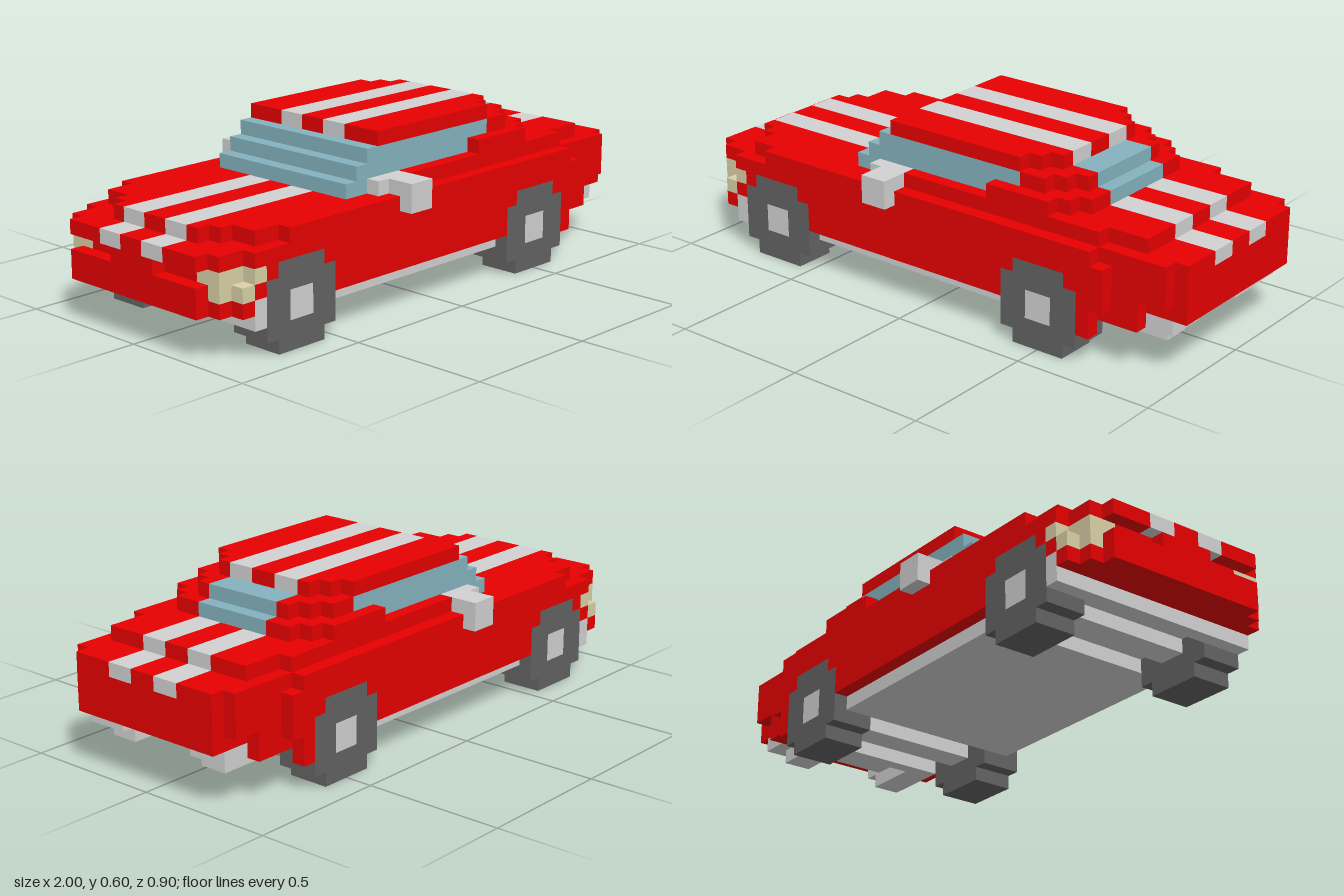
import * as THREE from 'three';

const U = 0.05; // size of one block

const material = (name, color) => {
  const m = new THREE.MeshStandardMaterial({ color });
  m.name = name;
  return m;
};

export function createModel() {
  const red = material('red paint', 0xe80000);
  const silver = material('silver', 0xd2d2d2);
  const glass = material('blue glass', 0x85b3be);
  const dark = material('dark rubber', 0x636363);
  const cream = material('headlight cream', 0xdad1a7);

  const car = new THREE.Group();
  car.name = 'car';
  const groups = {};
  const part = (name) => {
    if (!groups[name]) {
      groups[name] = new THREE.Group();
      groups[name].name = name;
      car.add(groups[name]);
    }
    return groups[name];
  };

  // Block in grid units; centred when z0 is 0, otherwise mirrored to both sides
  const block = (name, mat, x0, x1, y0, y1, z0, z1) => {
    const depth = z0 === 0 ? 2 * z1 : z1 - z0;
    const centres = z0 === 0 ? [0] : [(z0 + z1) / 2, -(z0 + z1) / 2];
    for (const z of centres) {
      const mesh = new THREE.Mesh(new THREE.BoxGeometry((x1 - x0) * U, (y1 - y0) * U, depth * U), mat);
      mesh.position.set(((x0 + x1) / 2) * U, ((y0 + y1) / 2) * U, z * U);
      mesh.name = name;
      part(name).add(mesh);
    }
  };

  // Slab carrying the twin racing stripes along its length
  const striped = (name, x0, x1, y0, y1, half) => {
    block(name, red, x0, x1, y0, y1, 0, 1);
    block('racingStripe', silver, x0, x1, y0, y1, 1, 3);
    block(name, red, x0, x1, y0, y1, 3, half);
  };

  // Lower body between the wheels, and the stepped floor
  block('bodyCore', red, -17, 17, 4, 7, 0, 5);
  block('floor', silver, -17, 17, 3, 4, 0, 5);
  block('floor', silver, -10, 7, 2, 3, 0, 7);

  // Side panels with stepped wheel arches
  block('sidePanel', red, -10, 7, 3, 6, 5, 8);
  for (const x of [-16, -11, 7, 12]) block('wheelArch', red, x, x + 1, 5, 6, 5, 8);
  block('sidePanel', red, -17, 15, 6, 7, 5, 8);
  block('sidePanel', red, 13, 14, 3, 6, 5, 8);
  block('sidePanel', red, 13, 14, 2, 3, 7, 8);
  block('sidePanel', red, 14, 15, 4, 6, 5, 8);
  block('frontValance', silver, -17, -16, 2, 4, 5, 8);
  block('frontValance', silver, -17, -16, 2, 3, 0, 5);
  block('sidePanel', red, -17, -16, 4, 5, 5, 8);

  // Nose: bumper, recessed grille, headlights, overhanging hood lip
  block('frontBumper', red, -20, -17, 3, 5, 0, 6);
  block('frontBumper', red, -19, -17, 3, 4, 6, 7);
  block('frontBumper', red, -18, -17, 3, 4, 7, 8);
  block('grille', red, -19, -17, 5, 6, 0, 5);
  block('grillePost', red, -20, -19, 5, 6, 0, 2);
  block('headlight', cream, -19, -17, 5, 6, 5, 7);
  block('headlight', cream, -17, -16, 5, 6, 7, 8.02);
  block('headlight', cream, -19, -17, 4, 5, 6, 7);
  block('headlight', cream, -18, -17, 4, 5, 7, 8);
  striped('hoodLip', -20, -17, 6, 7, 6);
  block('hoodLip', red, -19, -17, 6, 7, 6, 7);

  // Hood and deck layer
  striped('deck', -18, 20, 7, 8, 4);
  block('deck', red, -17, 20, 7, 8, 4, 5);
  block('deck', red, -16, 20, 7, 8, 5, 6);
  block('deck', red, -16, 19, 7, 8, 6, 7);
  block('deck', red, -14, 14, 7, 8, 7, 8);

  // Tail, rear bumper and exhausts
  block('tail', red, 17, 20, 4, 7, 0, 5);
  block('tail', red, 14, 20, 4, 7, 5, 6);
  block('tail', red, 14, 19, 5, 7, 6, 7);
  block('tail', red, 14, 17, 3, 5, 5, 7);
  block('rearBumper', silver, 17, 17.5, 3, 4, 0, 3);
  block('rearBumper', silver, 13, 14, 2, 3, 0, 5);
  block('exhaust', silver, 17, 19, 3, 4, 3, 6);
  block('exhaust', silver, 14, 18, 2, 3, 3, 5);

  // Cabin base and trunk lid
  block('windshield', glass, -7, -5, 8, 9, 0, 6);
  block('cabinBase', red, -5, 12, 8, 9, 0, 6);
  block('cabinBase', red, -2, 14, 8, 9, 6, 7);
  striped('trunkLid', 12, 17, 8, 9, 6);

  // Stepped windows and rear pillars
  block('windows', glass, -6, 5, 9, 10, 0, 6);
  block('rearWindow', glass, 5, 12, 9, 10, 0, 3);
  block('rearPillar', red, 5, 12, 9, 10, 3, 5);
  block('rearPillar', red, 5, 11, 9, 10, 5, 6);
  block('rearPillar', red, 5, 10, 9, 10, 6, 7);
  block('windows', glass, -5, 7, 10, 11, 0, 6);
  block('rearWindow', glass, 7, 11, 10, 11, 0, 3);
  block('rearPillar', red, 7, 11, 10, 11, 3, 4);
  block('rearPillar', red, 7, 10, 10, 11, 4, 5);
  block('rearPillar', red, 7, 9, 10, 11, 5, 6);

  // Roof with rounded rear corners
  striped('roof', -4, 9, 11, 12, 4);
  block('roof', red, -4, 8, 11, 12, 4, 5);
  block('roof', red, -4, 7, 11, 12, 5, 6);

  // Door mirrors
  block('doorMirror', silver, -4, -2, 7, 9, 8, 9);
  block('doorMirror', silver, -4, -2, 8, 9, 6, 8);
  block('doorMirror', silver, -5, -4, 8, 9, 6, 7);

  // Wheels: stepped tyre around a square hub, joined by an axle
  for (const [name, x] of [['frontWheel', -13], ['rearWheel', 10]]) {
    block(name, dark, x - 2, x + 2, 0, 1, 5, 8);
    block(name, dark, x - 3, x + 3, 1, 2, 5, 8);
    block(name, dark, x - 3, x - 1, 2, 4, 5, 8);
    block(name, dark, x + 1, x + 3, 2, 4, 5, 8);
    block(name, dark, x - 3, x + 3, 4, 5, 5, 8);
    block(name, dark, x - 2, x + 2, 5, 6, 5, 8);
    block('hub', silver, x - 1, x + 1, 2, 4, 5, 8);
    block('axle', silver, x - 1, x + 1, 2, 3, 0, 5);
  }

  return car;
}
